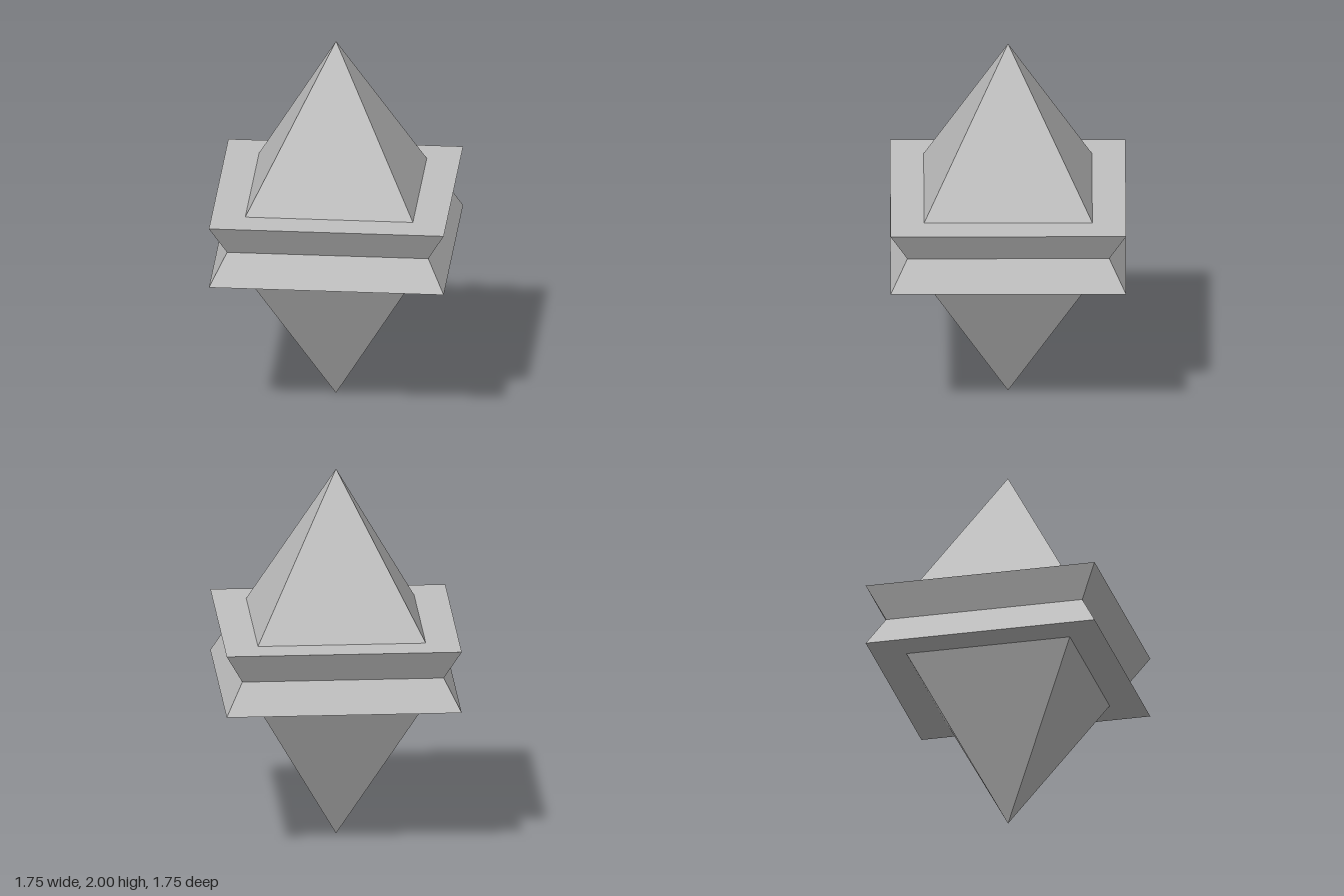
import * as THREE from 'three';

const HEIGHT = 7 / 6; // each pyramid, from base to tip
const RADIUS = 0.875; // centre to base corner

export function createModel() {
  const model = new THREE.Group();
  model.name = 'interlockedPyramids';

  const paleGrey = new THREE.MeshStandardMaterial({ color: 0xc0c0c0 });
  paleGrey.name = 'paleGrey';

  // Four-sided pyramid with crisp facets and its base corners on the axes
  const pyramid = new THREE.ConeGeometry(RADIUS, HEIGHT, 4).toNonIndexed();
  pyramid.computeVertexNormals();

  // Two equal pyramids pass through each other, one pointing up and one down
  const addPyramid = (name, y, tilt) => {
    const mesh = new THREE.Mesh(pyramid, paleGrey);
    mesh.name = name;
    mesh.position.y = y;
    mesh.rotation.x = tilt;
    model.add(mesh);
  };
  addPyramid('upperPyramid', 2 - HEIGHT / 2, 0);
  addPyramid('lowerPyramid', HEIGHT / 2, Math.PI);

  return model;
}
